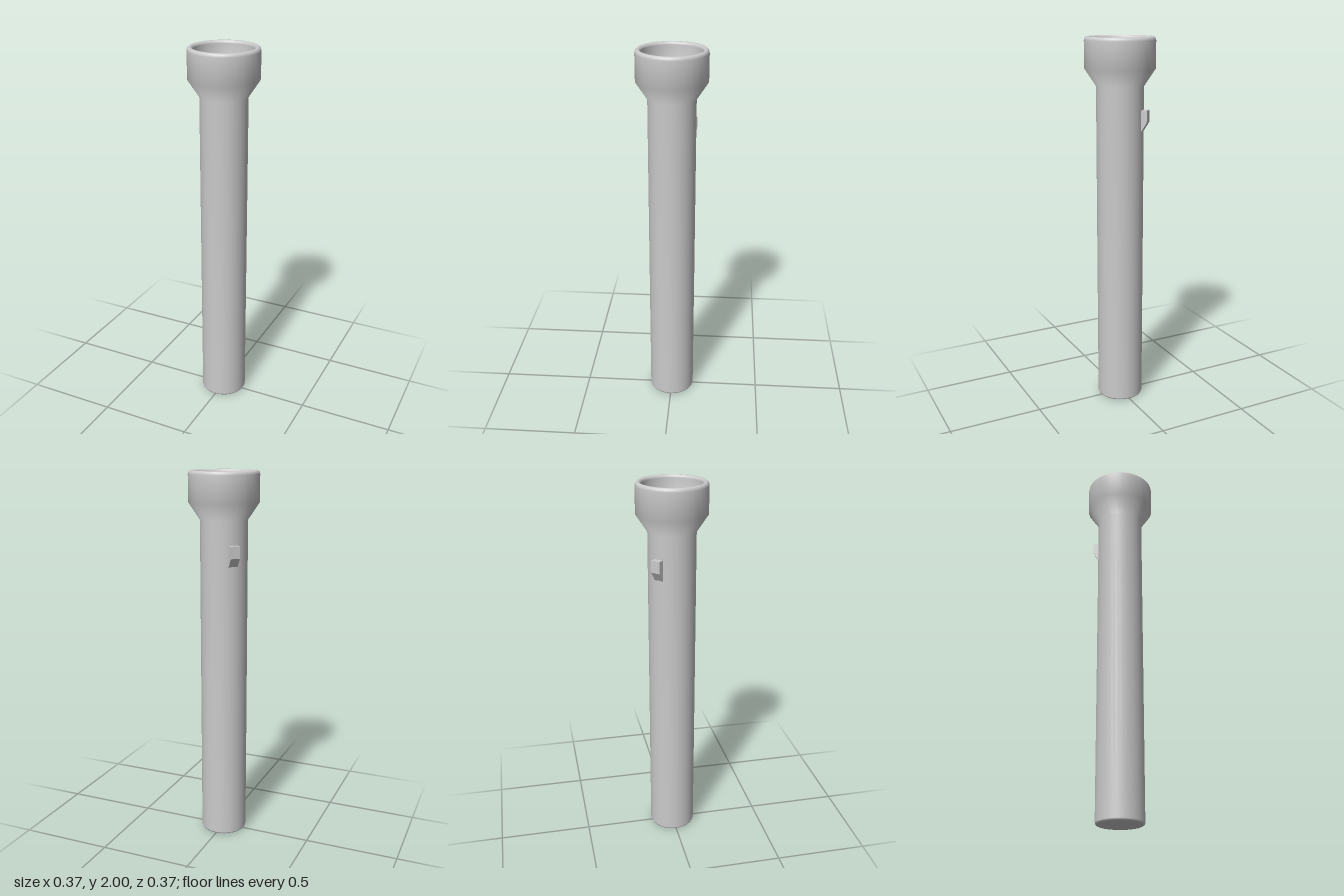
import * as THREE from 'three';

const material = new THREE.MeshStandardMaterial({ color: 0xcccccc, side: THREE.DoubleSide });

function addMesh(group, name, geometry) {
  const mesh = new THREE.Mesh(geometry, material);
  mesh.name = name;
  group.add(mesh);
  return mesh;
}

export function createModel() {
  const group = new THREE.Group();
  group.name = 'flashlight';

  // Handle, flared head, rolled rim and open reflector cup in one turned profile
  const profile = [
    [0, 0], [0.11, 0], [0.115, 0.001], [0.122, 0.005], [0.125, 0.013],
    [0.125, 1.75], [0.185, 1.84], [0.185, 1.982],
    [0.182, 1.993], [0.175, 2], [0.165, 2], [0.158, 1.994], [0.155, 1.985],
    [0.155, 1.85], [0.103, 1.76], [0, 1.76],
  ].map(([r, y]) => new THREE.Vector2(r, y));
  addMesh(group, 'body', new THREE.LatheGeometry(profile, 32));

  // Switch: upright face with a slope below, on the back right diagonal
  const width = 0.05;
  const side = new THREE.Shape([
    [0.1, 1.51], [0.12, 1.515], [0.153, 1.567], [0.153, 1.63], [0.1, 1.63],
  ].map(([r, y]) => new THREE.Vector2(r, y)));
  const switchGeometry = new THREE.ExtrudeGeometry(side, { depth: width, bevelEnabled: false });
  switchGeometry.translate(0, 0, -width / 2);
  addMesh(group, 'switch', switchGeometry).rotation.y = Math.PI * 0.75;

  return group;
}
